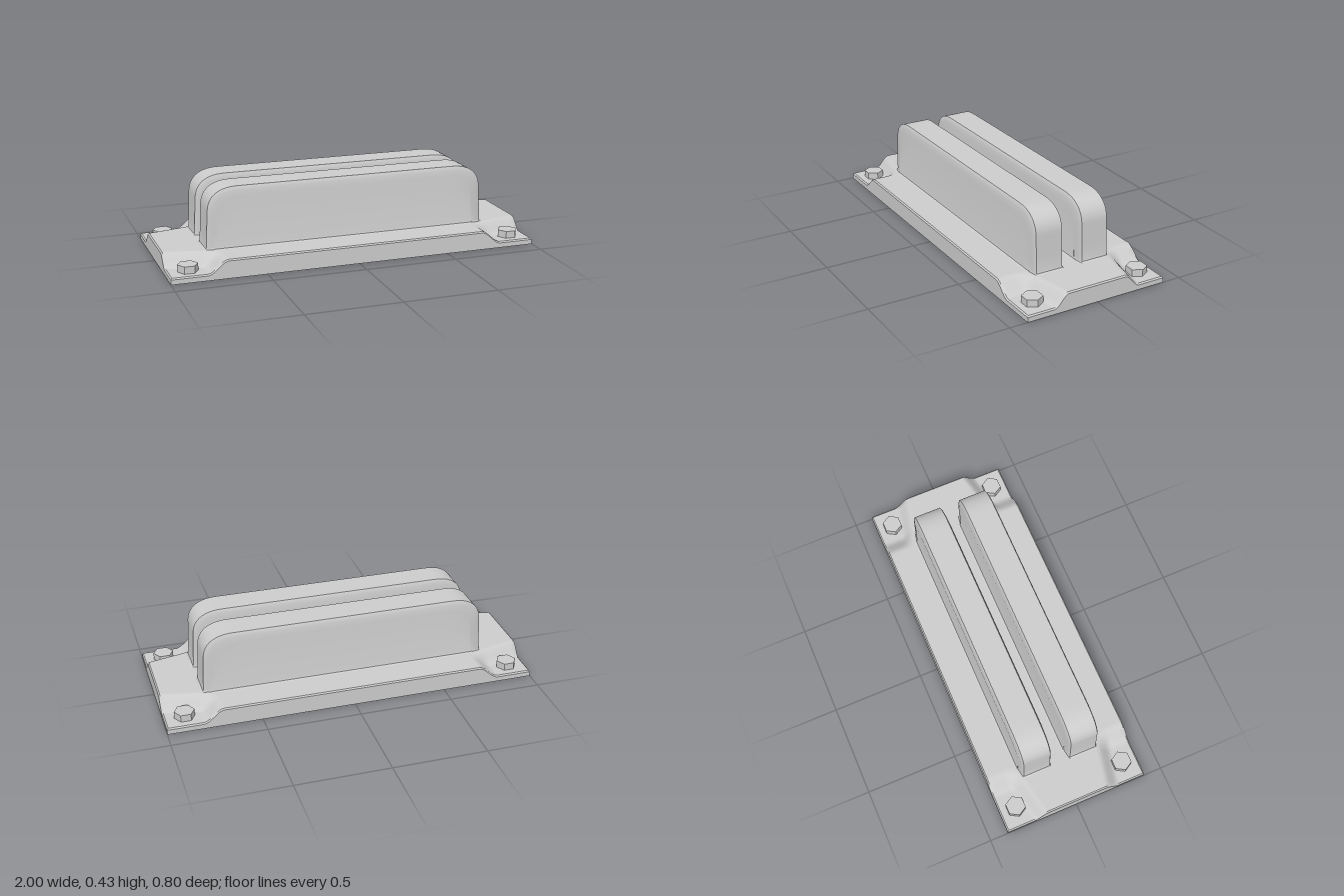
import * as THREE from 'three';
import { toCreasedNormals } from 'three/addons/utils/BufferGeometryUtils.js';

const TOP = 0.1, LOW = 0.033;
const metal = new THREE.MeshStandardMaterial({ color: 0xcccccc, side: THREE.DoubleSide });
const smooth = THREE.MathUtils.smoothstep;

// Surface through an nu x nv grid of points; skip(i, j) leaves a cell open
function sheet(nu, nv, point, skip = () => false) {
  const pos = [], index = [];
  for (let i = 0; i < nu; i++) for (let j = 0; j < nv; j++) pos.push(...point(i, j));
  for (let i = 0; i < nu - 1; i++) for (let j = 0; j < nv - 1; j++) {
    if (skip(i, j)) continue;
    const a = i * nv + j, b = a + nv;
    index.push(a, a + 1, b, b, a + 1, b + 1);
  }
  const geo = new THREE.BufferGeometry();
  geo.setAttribute('position', new THREE.Float32BufferAttribute(pos, 3));
  geo.setIndex(index);
  return toCreasedNormals(geo, 0.65);
}

function addMesh(parent, name, geo) {
  const mesh = new THREE.Mesh(geo, metal);
  mesh.name = name;
  parent.add(mesh);
  return mesh;
}

// Evenly spaced values between successive stops, mirrored about zero,
// finished with a rounded edge (k = 1) and the foot of the skirt (k = 2)
function gridLine(stops, counts, end) {
  const half = [];
  counts.forEach((n, s) => {
    for (let i = 0; i < n; i++) half.push({ v: stops[s] + (stops[s + 1] - stops[s]) * i / n, k: 0 });
  });
  half.push({ v: end - 0.007, k: 0 }, { v: end, k: 1 }, { v: end, k: 2 });
  return [...half.slice(1).reverse().map(p => ({ v: -p.v, k: p.k })), ...half];
}

// Plate height: flat, with a soft-edged recess in each corner
function plateHeight(x, z) {
  const ax = Math.abs(x), az = Math.abs(z);
  const start = 0.165 + (1 - ax) * 0.22;
  return TOP - (TOP - LOW) * smooth(ax, 0.7, 0.81) * smooth(az, start, start + 0.085);
}

// Hollow base plate with skirt, open under the two covers
function basePlate() {
  const xs = gridLine([0, 0.69, 0.76, 0.83, 0.993], [2, 8, 8, 8], 1);
  const zs = gridLine([0, 0.055, 0.16, 0.212, 0.31, 0.393], [1, 2, 6, 14, 3], 0.4);
  const point = (i, j) => {
    const x = xs[i].v, z = zs[j].v, k = Math.max(xs[i].k, zs[j].k);
    return [x, k === 2 ? 0 : plateHeight(x, z) - (k ? 0.007 : 0), z];
  };
  const inHole = (i, j) => {
    const x = Math.abs(xs[i].v + xs[i + 1].v) / 2, z = Math.abs(zs[j].v + zs[j + 1].v) / 2;
    return x < 0.76 && z > 0.055 && z < 0.212;
  };
  return sheet(xs.length, zs.length, point, inHole);
}

// Long hollow cover: an arch outline swept across its width with eased edges
function coverGeometry() {
  const half = [[0.782, TOP], [0.773, 0.104], [0.77, 0.114], [0.767, 0.2]];
  for (let i = 0; i <= 14; i++) {
    const a = i / 14 * Math.PI / 2;
    half.push([0.59 + 0.172 * Math.cos(a) ** 0.8, 0.285 + 0.141 * Math.sin(a) ** 0.8]);
  }
  const arch = [...half.map(([x, y]) => [-x, y]), ...half.reverse()];
  // z position, inset of the outline, and optional ceiling on its height
  const side = [
    { z: 0.101, inset: 0.05, max: TOP },
    { z: 0.092, inset: 0.05, max: 0.104 },
    { z: 0.089, inset: 0.05, max: 0.114 },
    { z: 0.088, inset: 0.052 },
    { z: 0.083, inset: 0.022 },
    { z: 0.08, inset: 0.008 },
    { z: 0.075, inset: 0 },
  ];
  const rows = [...side.map(r => ({ ...r, z: -r.z })), ...[...side].reverse()];
  return sheet(arch.length, rows.length, (i, j) => {
    const [x, y] = arch[i], { z, inset, max = 1 } = rows[j];
    const px = x * (1 - inset / 0.77);
    const py = TOP + (y - TOP) * (1 - inset / 0.326);
    return [px, Math.min(py, max), z];
  });
}

export function createModel() {
  const model = new THREE.Group();
  model.name = 'twinCoverHousing';
  addMesh(model, 'basePlate', basePlate());

  // Two parallel covers
  const cover = coverGeometry();
  for (const s of [1, -1]) {
    addMesh(model, s > 0 ? 'frontCover' : 'backCover', cover).position.z = s * 0.134;
  }

  // Hexagonal bolt in each corner recess
  const hex = toCreasedNormals(new THREE.CylinderGeometry(0.054, 0.054, 0.042, 6, 1, false, Math.PI / 2), 0.3);
  for (const sx of [1, -1]) for (const sz of [1, -1]) {
    const name = (sz > 0 ? 'front' : 'back') + (sx > 0 ? 'Left' : 'Right') + 'Bolt';
    addMesh(model, name, hex).position.set(sx * 0.893, 0.05, sz * 0.31);
  }
  return model;
}
